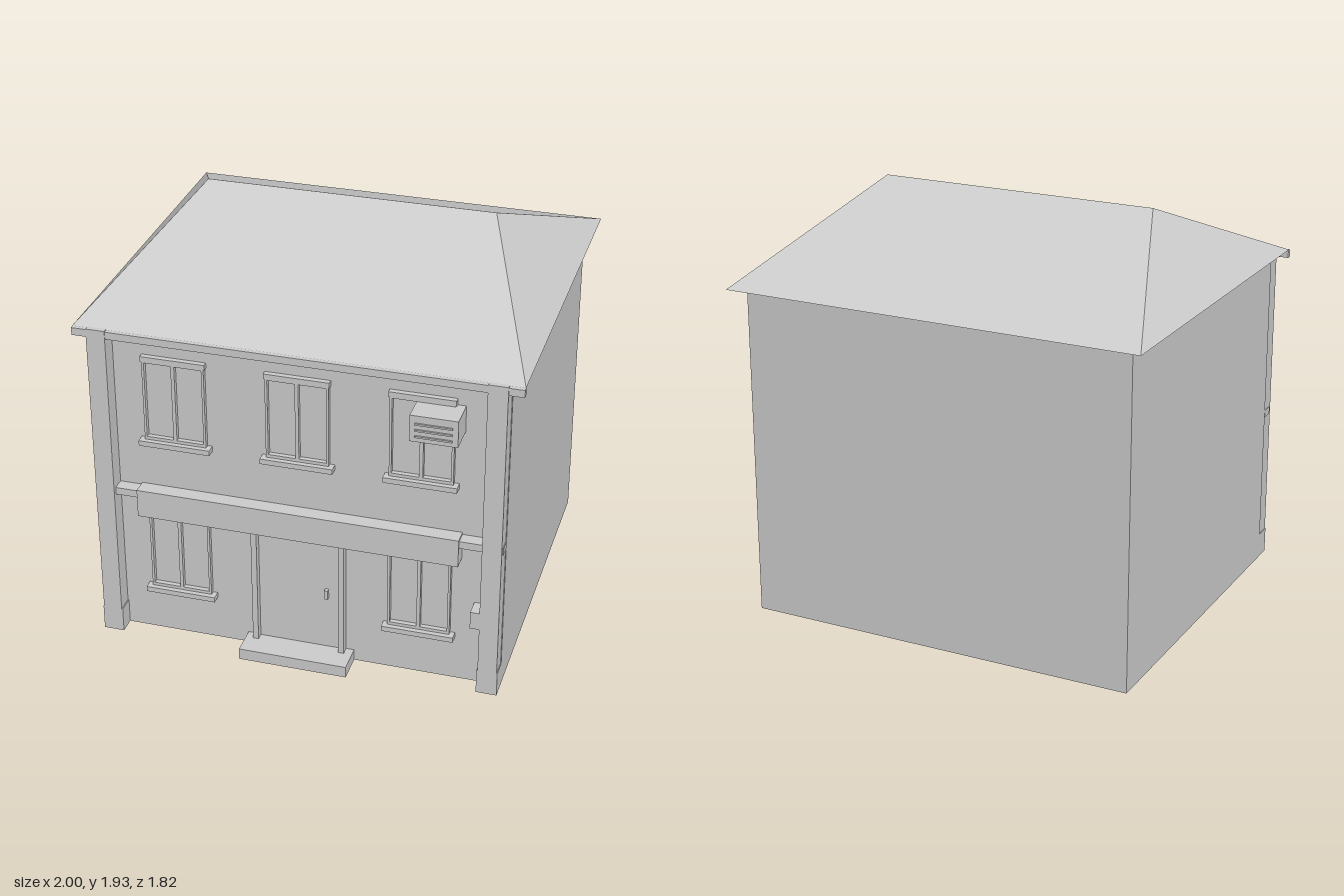
import * as THREE from 'three';

const WALL_Z = 0.76; // front wall plane

export function createModel() {
  const house = new THREE.Group();
  house.name = 'house';
  const grey = new THREE.MeshStandardMaterial({ color: 0xcccccc });
  grey.name = 'plain grey';

  const add = (name, geometry, parent = house) => {
    const mesh = new THREE.Mesh(geometry, grey);
    mesh.name = name;
    parent.add(mesh);
    return mesh;
  };
  // Box given by its limits on each axis
  const box = (name, x0, x1, y0, y1, z0, z1, parent) => {
    const mesh = add(name, new THREE.BoxGeometry(x1 - x0, y1 - y0, z1 - z0), parent);
    mesh.position.set((x0 + x1) / 2, (y0 + y1) / 2, (z0 + z1) / 2);
    return mesh;
  };

  // Main block and hipped roof
  box('walls', -0.935, 0.935, 0, 1.57, -0.84, WALL_Z);
  add('roof', roofGeometry());

  // Corner pilasters with slightly wider bases
  for (const s of [-1, 1]) {
    const pilaster = new THREE.Group();
    pilaster.name = s < 0 ? 'rightPilaster' : 'leftPilaster';
    house.add(pilaster);
    const part = (name, inner, outer, y0, y1) =>
      box(name, Math.min(s * inner, s * outer), Math.max(s * inner, s * outer), y0, y1, WALL_Z, 0.84, pilaster);
    part('pilasterBase', 0.84, 0.935, 0, 0.12);
    part('pilasterShaft', 0.845, 0.932, 0.12, 1.57);
  }

  // Horizontal bands and gutter
  box('floorBand', -0.936, 0.936, 0.735, 0.77, WALL_Z, 0.82);
  box('frieze', -0.936, 0.936, 1.522, 1.555, WALL_Z, 0.82);
  box('gutter', -1, 1, 1.53, 1.565, 0.81, 0.836);

  // Windows: three above, two below
  for (const x of [-0.563, 0, 0.555]) addWindow(x, 1.0, 1.44);
  for (const x of [-0.563, 0.555]) addWindow(x, 0.22, 0.645);

  function addWindow(x, y0, y1) {
    const win = new THREE.Group();
    win.name = 'window';
    house.add(win);
    const w = 0.143, top = y1 - 0.025, bottom = y0 + 0.025;
    const shape = rect(x - w, x + w, bottom, top);
    for (const s of [-1, 1]) {
      const a = x + s * 0.008, b = x + s * 0.132;
      shape.holes.push(rect(Math.min(a, b), Math.max(a, b), bottom + 0.015, top - 0.006));
    }
    const frame = add('windowFrame', new THREE.ExtrudeGeometry(shape, { depth: 0.022, bevelEnabled: false }), win);
    frame.position.z = WALL_Z;
    box('windowHead', x - 0.148, x + 0.148, top, y1, WALL_Z, 0.785, win);
    box('windowSill', x - 0.165, x + 0.165, y0, bottom, WALL_Z, 0.805, win);
  }

  // Entrance: step, posts, door handle and long sign board
  box('doorStep', -0.253, 0.253, 0, 0.055, WALL_Z, 0.9);
  for (const x of [-0.205, 0.202]) box('doorPost', x - 0.013, x + 0.013, 0.055, 0.645, WALL_Z, 0.8);
  box('doorPanel', -0.192, 0.189, 0.055, 0.645, WALL_Z, 0.765);
  box('doorHandle', 0.119, 0.135, 0.325, 0.37, 0.765, 0.785);
  box('signBoard', -0.74, 0.74, 0.645, 0.78, WALL_Z, 0.832);

  // Cooling unit on the upper left window
  box('coolingUnit', 0.53, 0.74, 1.285, 1.41, WALL_Z, 0.9);
  for (const y of [1.312, 1.342, 1.372]) box('coolingSlat', 0.553, 0.716, y - 0.004, y + 0.004, 0.9, 0.908);

  // Small box on the inner side of a pilaster
  box('meterBox', 0.803, 0.845, 0.34, 0.425, WALL_Z, 0.84);

  return house;
}

function rect(x0, x1, y0, y1) {
  return new THREE.Shape([
    new THREE.Vector2(x0, y0), new THREE.Vector2(x1, y0),
    new THREE.Vector2(x1, y1), new THREE.Vector2(x0, y1),
  ]);
}

// Hipped roof: four eave corners, two ridge ends and a flat soffit
function roofGeometry() {
  const y = 1.568, front = 0.82, back = -0.91;
  const p = [
    [-1, y, front], [1, y, front], [1, y, back], [-1, y, back],
    [-0.67, 1.935, -0.045], [0.67, 1.935, -0.045],
  ];
  const faces = [0, 1, 5, 0, 5, 4, 1, 2, 5, 2, 3, 4, 2, 4, 5, 3, 0, 4, 0, 3, 2, 0, 2, 1];
  const geometry = new THREE.BufferGeometry();
  geometry.setAttribute('position', new THREE.Float32BufferAttribute(faces.flatMap((i) => p[i]), 3));
  geometry.computeVertexNormals();
  return geometry;
}
